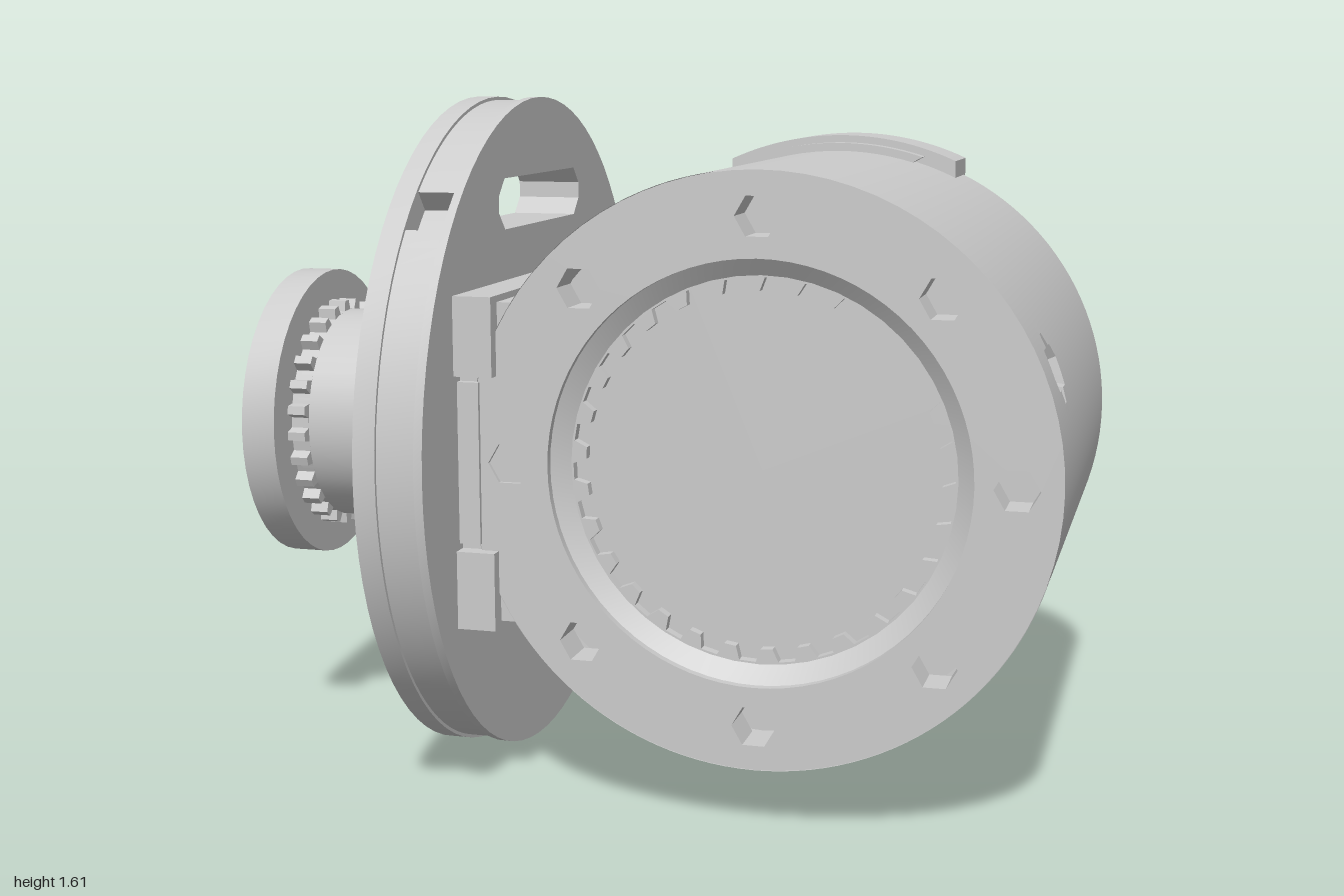
import * as THREE from 'three';
import { toCreasedNormals } from 'three/addons/utils/BufferGeometryUtils.js';

const grey = new THREE.MeshStandardMaterial({ color: 0xcccccc, side: THREE.DoubleSide });
const rad = THREE.MathUtils.degToRad;
const V = (x, y) => new THREE.Vector2(x, y);

function add(parent, name, geometry) {
  const mesh = new THREE.Mesh(toCreasedNormals(geometry, 0.5), grey);
  mesh.name = name;
  parent.add(mesh);
  return mesh;
}

// flat plate from z0 to z1 with holes
function plate(parent, name, shape, z0, z1, holes = []) {
  shape.holes = holes;
  const g = new THREE.ExtrudeGeometry(shape, { depth: z1 - z0, bevelEnabled: false, curveSegments: 40 });
  return add(parent, name, g.translate(0, 0, z0));
}

// turned part around z; profile points are [radius, z]
function turned(parent, name, profile) {
  const g = new THREE.LatheGeometry(profile.map(([r, z]) => V(r, z)), 48);
  return add(parent, name, g.rotateX(Math.PI / 2));
}

function circle(r, x = 0, y = 0) {
  return new THREE.Shape().absarc(x, y, r, 0, Math.PI * 2, false);
}

// toothed outline
function gear(n, root, tip) {
  const pts = [];
  for (let i = 0; i < n; i++) {
    [[0, root], [0.42, root], [0.55, tip], [0.87, tip]].forEach(([t, r]) => {
      const a = ((i + t) / n) * Math.PI * 2;
      pts.push(V(r * Math.cos(a), r * Math.sin(a)));
    });
  }
  return new THREE.Shape(pts);
}

// curved slot between two radii and two angles
function arcSlot(r0, r1, a0, a1) {
  return new THREE.Path()
    .absarc(0, 0, r1, rad(a0), rad(a1), false)
    .absarc(0, 0, r0, rad(a1), rad(a0), true)
    .closePath();
}

// straight slot with chamfered ends
function slot(x, y, halfW, halfH, c = 0.04) {
  return new THREE.Path([
    V(x - halfW + c, y - halfH), V(x + halfW - c, y - halfH), V(x + halfW, y - halfH + c),
    V(x + halfW, y + halfH - c), V(x + halfW - c, y + halfH), V(x - halfW + c, y + halfH),
    V(x - halfW, y + halfH - c), V(x - halfW, y - halfH + c),
  ]);
}

function buildBarrel(root) {
  const front = new THREE.Group();
  front.name = 'barrel';
  front.position.set(0.333, 0.807, 0);
  root.add(front);
  const R = 0.665;

  // outer skin with two shallow set-screw pits
  const skin = new THREE.CylinderGeometry(R, R, 1.13, 128, 50, true).rotateX(Math.PI / 2).translate(0, 0, 0.015);
  const p = skin.attributes.position;
  for (let i = 0; i < p.count; i++) {
    const angle = Math.atan2(p.getY(i), p.getX(i));
    for (const a of [rad(21), rad(-20)]) {
      if (Math.hypot((angle - a) * R, p.getZ(i) - 0.4) < 0.052) {
        p.setXY(i, p.getX(i) * 0.92, p.getY(i) * 0.92);
      }
    }
  }
  add(front, 'barrelSkin', skin);
  turned(front, 'barrelCore', [[0, -0.48], [0.605, -0.48], [0.605, 0.48], [0, 0.48]]);

  // front face with bolt holes and the toothed bore
  const bolts = [circle(0.475)];
  for (let i = 0; i < 8; i++) {
    const a = (i * Math.PI) / 4;
    bolts.push(new THREE.Path(new THREE.CircleGeometry(0.048, 6).attributes.position.count
      ? [0, 1, 2, 3, 4, 5].map((k) => V(0.565 * Math.cos(a) + 0.05 * Math.cos(k * Math.PI / 3),
        0.565 * Math.sin(a) + 0.05 * Math.sin(k * Math.PI / 3))) : []));
  }
  plate(front, 'frontFace', circle(R - 0.001), 0.481, 0.58, bolts);
  turned(front, 'boreBevel', [[0.435, 0.53], [0.476, 0.56]]);
  plate(front, 'boreTeeth', circle(0.474), 0.482, 0.53, [gear(30, 0.43, 0.4)]);
  turned(front, 'boreFloor', [[0.44, 0.505], [0, 0.505]]);

  // rear side, facing -z
  const rear = new THREE.Group();
  rear.name = 'barrelRear';
  rear.rotation.y = Math.PI;
  front.add(rear);
  const keyhole = () => new THREE.Path([
    V(-0.07, 0.3), V(0.07, 0.3), V(0.07, 0.37), V(0.16, 0.4), V(0.16, 0.48),
    V(0.08, 0.53), V(-0.08, 0.53), V(-0.16, 0.48), V(-0.16, 0.4), V(-0.07, 0.37),
  ]);
  plate(rear, 'rearFace', circle(R - 0.001), 0.481, 0.55,
    [arcSlot(0.54, 0.61, 155, 282), slot(0.5, 0, 0.05, 0.22), keyhole()]);
  // raised tongue that wraps over the top edge
  const a = Math.acos(0.29 / 0.703);
  const tongue = new THREE.Shape([V(-0.29, 0.42), V(-0.2, 0.27), V(0.2, 0.27), V(0.29, 0.42)]);
  tongue.absarc(0, 0, 0.703, a, Math.PI - a, false);
  plate(rear, 'topBoss', tongue, 0.39, 0.582, [keyhole()]);
  const lip = new THREE.Shape().absarc(0, 0, 0.685, rad(72), rad(108), false).lineTo(-0.12, 0.6).lineTo(0.12, 0.6);
  plate(rear, 'bossLip', lip, 0.345, 0.4);

  // rear output shaft
  turned(rear, 'rearShaft', [[0.25, 0.54], [0.23, 0.58], [0.18, 0.62], [0.165, 0.68],
    [0.2, 0.715], [0.22, 0.725], [0.22, 0.757], [0, 0.76]]);
  plate(rear, 'rearShaftTeeth', gear(20, 0.185, 0.225), 0.54, 0.61);
  plate(rear, 'rearCapTeeth', gear(16, 0.165, 0.19), 0.67, 0.72);
}

function buildFlange(root) {
  // local z points to -x, local x to +z
  const side = new THREE.Group();
  side.name = 'sideAssembly';
  side.rotation.y = -Math.PI / 2;
  side.position.y = 0.805;
  root.add(side);
  const R = 0.805;

  const through = () => [slot(0, 0.56, 0.3, 0.06), slot(-0.62, 0, 0.06, 0.31)];
  const groove = () => arcSlot(0.64, 0.72, -100, 30);
  const pockets = [groove()];
  for (let i = 0; i < 4; i++) {
    const a = rad(45 + i * 90);
    pockets.push(circle(0.06, 0.47 * Math.cos(a), 0.47 * Math.sin(a)));
    pockets.push(arcSlot(0.41, 0.47, i * 90 - 28, i * 90 + 28));
  }
  // middle layer has two square notches in its rim
  const notched = new THREE.Shape();
  notched.absarc(0, 0, R - 0.008, rad(139), rad(401), false);
  notched.absarc(0, 0, 0.74, rad(401), rad(409), false);
  notched.absarc(0, 0, R - 0.008, rad(409), rad(491), false);
  notched.absarc(0, 0, 0.74, rad(491), rad(499), false);
  plate(side, 'flangeInner', circle(R), 0.35, 0.37, through());
  plate(side, 'flangeMiddle', notched, 0.37, 0.46, [...through(), groove()]);
  plate(side, 'flangeOuter', circle(R), 0.46, 0.512, [...through(), ...pockets]);

  // hub teeth, shaft and end cap
  plate(side, 'hubGear', gear(28, 0.325, 0.372), 0.5, 0.585);
  plate(side, 'hubGearSmall', gear(28, 0.275, 0.31), 0.58, 0.66);
  plate(side, 'capTeeth', gear(28, 0.265, 0.29), 0.87, 0.92);
  turned(side, 'sideShaft', [[0.265, 0.5], [0.265, 0.9]]);
  turned(side, 'endCap', [[0.25, 0.915], [0.365, 0.915], [0.365, 1], [0, 1]]);
}

function buildBracket(root) {
  const box = (name, x0, x1, y0, y1, z0, z1) => add(root, name,
    new THREE.BoxGeometry(x1 - x0, y1 - y0, z1 - z0).translate((x0 + x1) / 2, (y0 + y1) / 2, (z0 + z1) / 2));
  box('bracketBlock', -0.355, -0.18, 0.44, 1.17, -0.54, 0.57);
  // paired rails above and below, with front lugs
  for (const s of [-1, 1]) {
    const y = 0.805 + s * 0.29;
    box('bracketRail', -0.355, -0.26, y - 0.09, y + 0.09, -0.55, 0.61);
  }
  box('bracketStop', -0.355, -0.3, 0.62, 0.99, 0.5, 0.59);
}

export function createModel() {
  const root = new THREE.Group();
  root.name = 'gearedDriveUnit';
  buildBarrel(root);
  buildFlange(root);
  buildBracket(root);
  return root;
}
